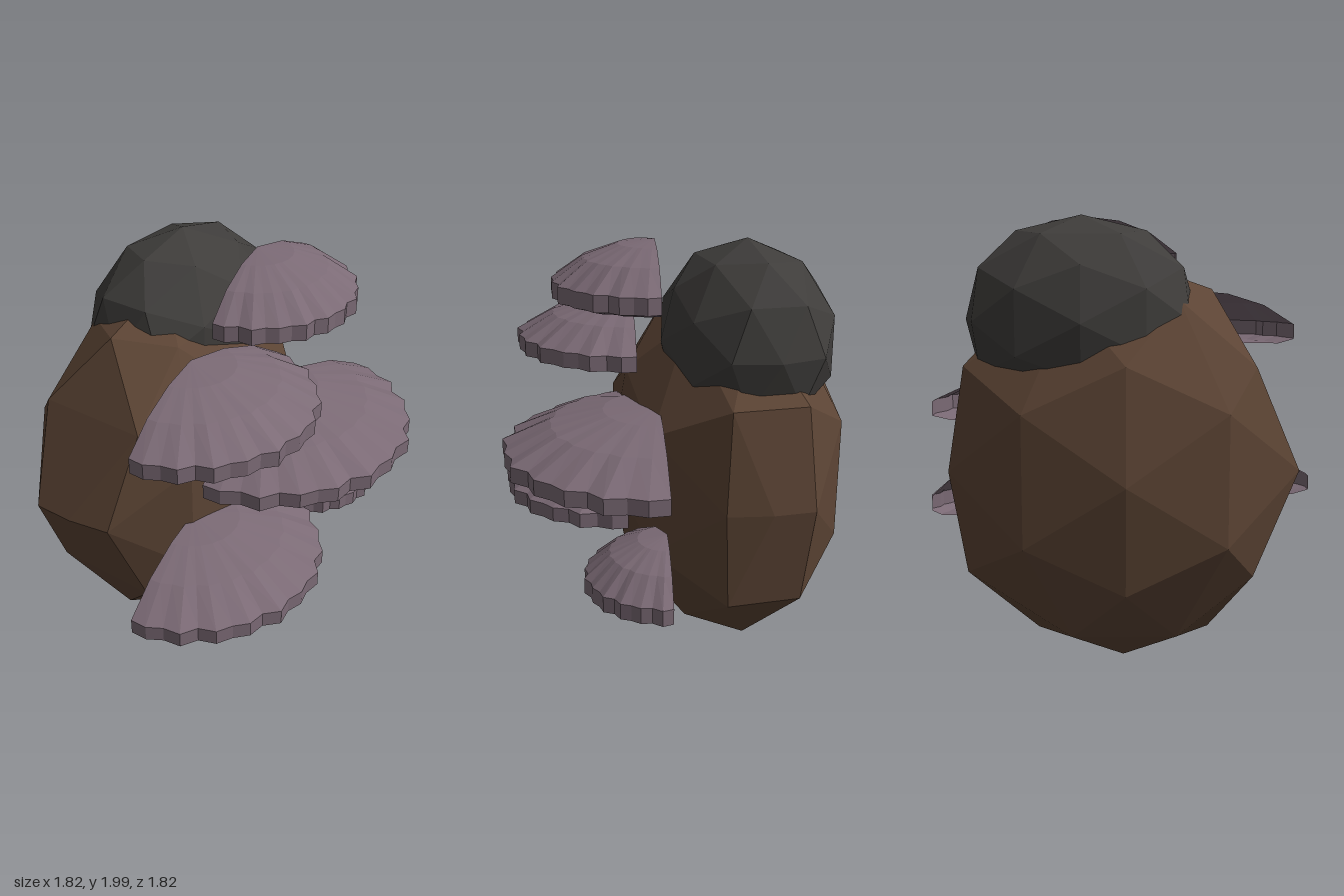
import * as THREE from 'three';

const mat = (name, color, extra = {}) =>
  Object.assign(new THREE.MeshStandardMaterial({ color, flatShading: true, ...extra }), { name });

// Faceted stone: a subdivided icosahedron whose unit vertices are moved by a rule
function boulder(name, material, rule, [x, y, z]) {
  const geo = new THREE.IcosahedronGeometry(1, 1);
  const p = geo.attributes.position;
  for (let i = 0; i < p.count; i++) p.setXYZ(i, ...rule(p.getX(i), p.getY(i), p.getZ(i)));
  geo.computeVertexNormals();
  const mesh = new THREE.Mesh(geo, material);
  mesh.name = name;
  mesh.position.set(x, y, z);
  return mesh;
}

// Body: tapered poles, blunt ends with squeezed corners, one end more pointed, fuller front
function bodyRule(x, y, z) {
  let sx = 0.84, sz = z > 0 ? 0.56 : 0.53;
  if (Math.abs(y) > 0.7) {
    sx *= 0.87;
    sz *= 0.87;
  } else if (Math.abs(y) < 0.05 && Math.abs(x) > 0.6) {
    sx *= z > 0 ? 1 : 1.06;
    sz *= 0.68;
  } else if (x < -0.7 && Math.abs(y) > 0.4) {
    sx *= 0.81;
    sz *= 1.55;
  }
  return [THREE.MathUtils.clamp(x * sx, -0.75, 0.75), y * 0.9, z * sz];
}

const capRule = (x, y, z) => [THREE.MathUtils.clamp(x * 0.53, -0.5, 0.5), y * 0.44, z * 0.39];

// Shelf profile as [share of radius, height], from the underside round the rim to the crown
const PROFILE = [[0.12, 0.01], [0.85, 0], [1, 0.02], [1, 0.09], [0.7, 0.185], [0.36, 0.24], [0, 0.258]];
const SEGMENTS = 22;
const END_ANGLE = 0.17; // how far each end stops short of a half turn

// Fan-shaped shelf with an open back, scalloped rim and radial ribs
function shelf(name, material, [x, y, z, radius]) {
  const points = PROFILE.map(([r, h]) => new THREE.Vector2(r, h));
  const geo = new THREE.LatheGeometry(points, SEGMENTS, END_ANGLE - Math.PI / 2, Math.PI - 2 * END_ANGLE);
  const p = geo.attributes.position;
  for (let i = 0; i < p.count; i++) {
    const column = Math.floor(i / points.length);
    const r = PROFILE[i % points.length][0];
    const wave = column % 2 ? 0.02 : -0.02;
    const s = radius * (1 + r * (wave - 0.01 + 0.012 * Math.sin(column * 1.9 + x * 9)));
    p.setXYZ(i, p.getX(i) * s, p.getY(i), p.getZ(i) * s);
  }
  geo.computeVertexNormals();
  const mesh = new THREE.Mesh(geo, material);
  mesh.name = name;
  mesh.position.set(x, y, z);
  return mesh;
}

export function createModel() {
  const brown = mat('brown', 0x5d4535);
  const charcoal = mat('charcoal', 0x3f3d3b);
  const mauve = mat('mauve', 0x7b6a75, { side: THREE.DoubleSide });

  // Everything is laid out along one wall, then turned to face the diagonal
  const cluster = new THREE.Group();
  cluster.name = 'cluster';
  cluster.rotation.y = Math.PI / 4;

  cluster.add(boulder('body', brown, bodyRule, [0, 0.91, -0.335]));
  cluster.add(boulder('cap', charcoal, capRule, [0.18, 1.55, -0.37]));

  // x, y, z, radius
  const shelves = [
    [0.17, 1.742, 0.047, 0.447],
    [-0.315, 1.402, 0.045, 0.548],
    [0.265, 1.025, 0.05, 0.694],
    [-0.37, 0.642, 0.081, 0.593],
    [0.6, 0.548, 0.094, 0.358],
  ];
  shelves.forEach((s, i) => cluster.add(shelf(`shelf${i + 1}`, mauve, s)));

  const model = new THREE.Group();
  model.name = 'shelfFungus';
  model.add(cluster);
  return model;
}
